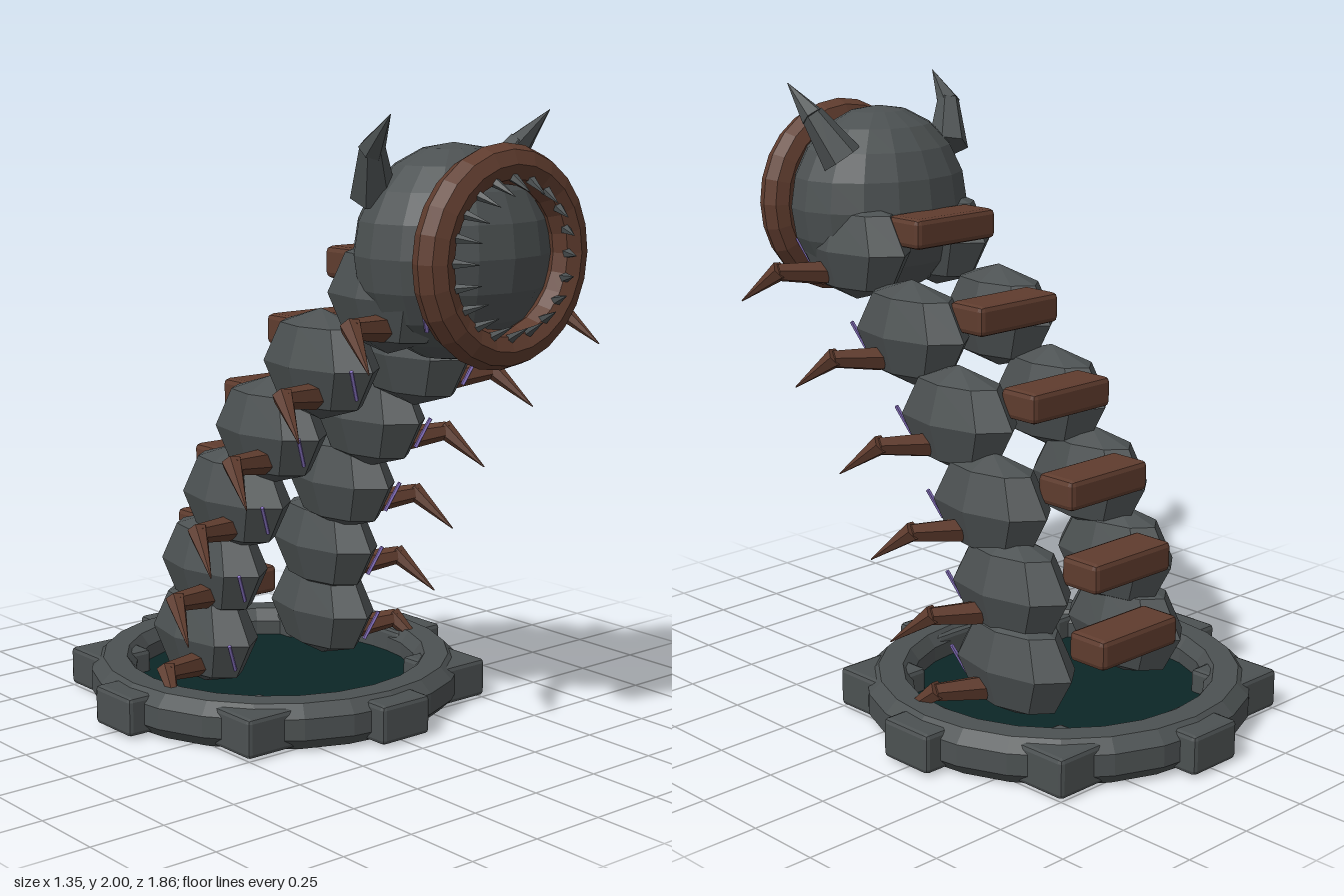
import * as THREE from 'three';
import { RoundedBoxGeometry } from 'three/addons/geometries/RoundedBoxGeometry.js';

const material = (name, color) => {
  const m = new THREE.MeshStandardMaterial({ color });
  m.name = name;
  return m;
};

// Faceted copy of a geometry
function flat(geometry) {
  const g = geometry.index ? geometry.toNonIndexed() : geometry;
  g.computeVertexNormals();
  return g;
}

export function createModel() {
  const group = new THREE.Group();
  const stone = material('slate grey', 0x4c5152);
  const brown = material('rust brown', 0x5f3c2e);
  const violet = material('violet', 0x8a74c4);
  const dark = material('dark teal', 0x0c2626);

  const add = (name, geometry, mat, x = 0, y = 0, z = 0, parent = group) => {
    const mesh = new THREE.Mesh(flat(geometry), mat);
    mesh.name = name;
    mesh.position.set(x, y, z);
    parent.add(mesh);
    return mesh;
  };

  // Tapered rod between two points
  const up = new THREE.Vector3(0, 1, 0);
  const rod = (name, a, b, ra, rb, sides, mat, parent = group) => {
    const p = new THREE.Vector3(...a), q = new THREE.Vector3(...b);
    const d = q.clone().sub(p);
    const mid = p.clone().add(q).multiplyScalar(0.5);
    const mesh = add(name, new THREE.CylinderGeometry(rb, ra, d.length(), sides), mat, mid.x, mid.y, mid.z, parent);
    mesh.quaternion.setFromUnitVectors(up, d.normalize());
    return mesh;
  };

  // Base ring, pool and square studs
  const baseZ = -0.25;
  const profile = [[0.49, 0], [0.59, 0], [0.63, 0.04], [0.63, 0.11], [0.59, 0.15], [0.51, 0.15], [0.48, 0.11], [0.48, 0.03], [0.49, 0]]
    .map(([r, y]) => new THREE.Vector2(r, y));
  add('baseRing', new THREE.LatheGeometry(profile, 24), stone, 0, 0, baseZ);
  add('pool', new THREE.CylinderGeometry(0.5, 0.5, 0.04, 24), dark, 0, 0.04, baseZ);
  for (let i = 0; i < 8; i++) {
    const a = i * Math.PI / 4;
    add('baseStud', new RoundedBoxGeometry(0.2, 0.13, 0.2, 1, 0.015), stone,
      0.575 * Math.sin(a), 0.072, baseZ + 0.575 * Math.cos(a));
  }

  // Twin columns of body segments: x, y, z of each left segment
  const spine = [
    [0.255, 0.25, -0.31], [0.24, 0.49, -0.275], [0.225, 0.735, -0.17],
    [0.21, 0.98, -0.005], [0.195, 1.22, 0.23], [0.18, 1.46, 0.525],
  ];
  for (const [x, y, z] of spine) {
    add('backPlate', new RoundedBoxGeometry(0.35, 0.1, 0.15, 1, 0.018), brown, 0, y + 0.075, z - 0.228);
    for (const s of [1, -1]) {
      const part = new THREE.Group();
      part.name = s > 0 ? 'leftSegment' : 'rightSegment';
      part.position.set(s * x, y, z);
      group.add(part);
      add('bodySegment', new THREE.SphereGeometry(1, 8, 4).scale(0.128, 0.175, 0.245), stone, 0, 0, 0, part);
      // Bent claw
      rod('clawUpper', [s * 0.08, -0.085, 0.065], [s * 0.245, -0.068, 0.115], 0.042, 0.03, 6, brown, part);
      rod('clawTip', [s * 0.235, -0.06, 0.105], [s * 0.29, -0.178, 0.25], 0.034, 0.002, 6, brown, part);
      // Glowing vein
      rod('vein', [s * 0.025, -0.085, 0.2], [s * 0.068, 0.01, 0.225], 0.007, 0.007, 5, violet, part);
    }
  }

  // Head and mouth ring
  const headY = 1.585;
  add('head', new THREE.SphereGeometry(1, 16, 10).scale(0.325, 0.325, 0.265), stone, 0, headY, 0.61);
  add('mouthRing', new THREE.TorusGeometry(0.272, 0.06, 8, 24), brown, 0, headY, 0.82);

  // Teeth around the mouth
  const teeth = 20;
  for (let i = 0; i < teeth; i++) {
    const a = i * 2 * Math.PI / teeth, c = Math.cos(a), s = Math.sin(a);
    rod('tooth', [0.25 * c, headY + 0.25 * s, 0.83], [0.195 * c, headY + 0.195 * s, 0.93], 0.022, 0.001, 5, stone);
  }

  // Curved horns
  for (const s of [1, -1]) {
    rod('hornBase', [s * 0.235, 1.76, 0.52], [s * 0.302, 1.905, 0.59], 0.07, 0.038, 6, stone);
    rod('hornTip', [s * 0.3, 1.895, 0.585], [s * 0.32, 2, 0.69], 0.041, 0.001, 6, stone);
  }
  return group;
}
